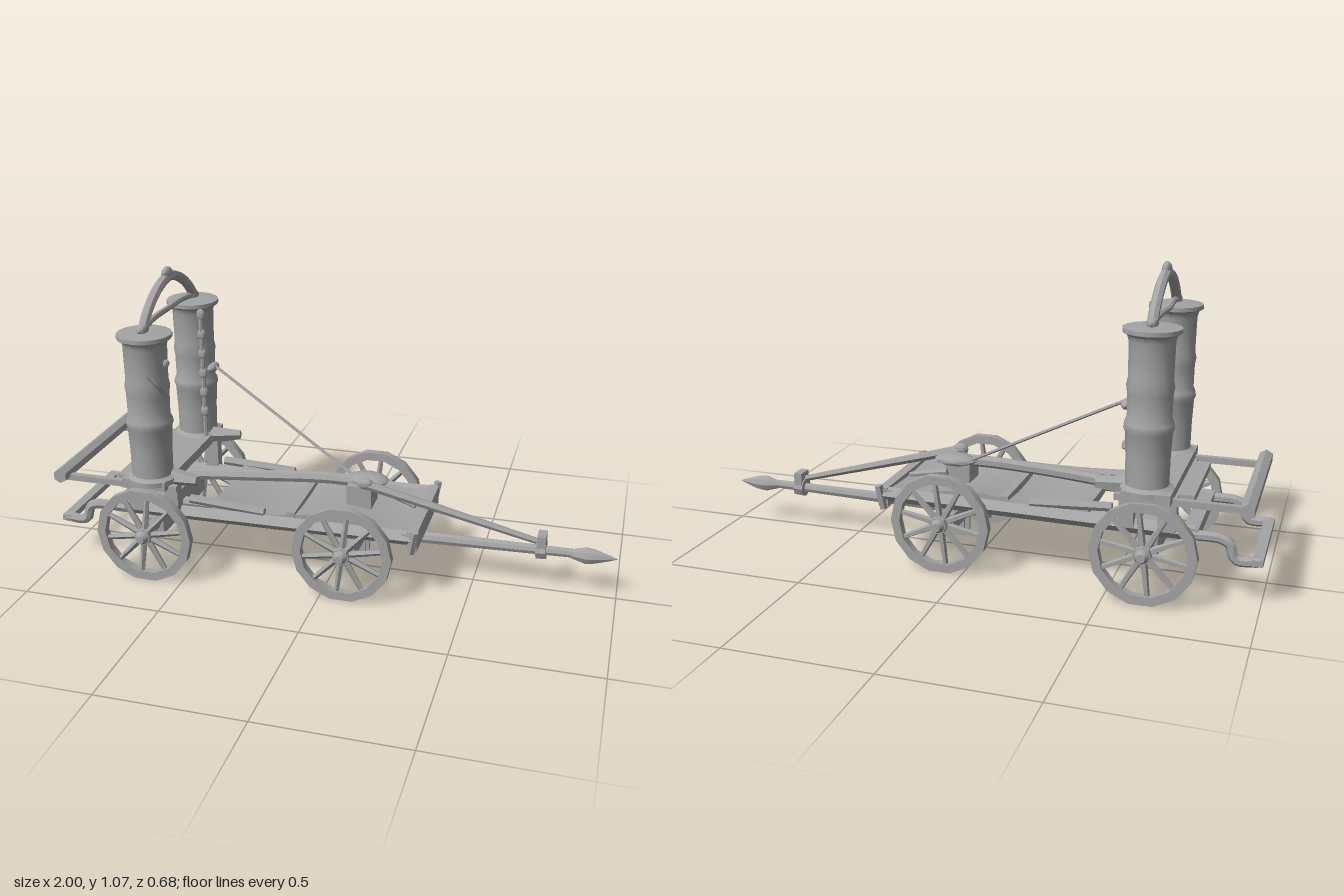
import * as THREE from 'three';
import { toCreasedNormals } from 'three/addons/utils/BufferGeometryUtils.js';

const V = (x, y, z) => new THREE.Vector3(x, y, z);

export function createModel() {
  const model = new THREE.Group();
  model.name = 'pumpCart';
  const grey = new THREE.MeshStandardMaterial({ color: 0xa3a3a3 });
  grey.name = 'weatheredGrey';

  const add = (name, geo, parent = model) => {
    const mesh = new THREE.Mesh(toCreasedNormals(geo, 0.75), grey);
    mesh.name = name;
    parent.add(mesh);
    return mesh;
  };
  // Box given by its limits on each axis
  const box = (name, x0, x1, y0, y1, z0, z1) => {
    const g = new THREE.BoxGeometry(x1 - x0, y1 - y0, z1 - z0);
    g.translate((x0 + x1) / 2, (y0 + y1) / 2, (z0 + z1) / 2);
    return add(name, g);
  };
  // Tapered round bar between two points
  const rod = (name, a, b, r0, r1 = r0, sides = 8, parent = model) => {
    const g = new THREE.CylinderGeometry(r1, r0, a.distanceTo(b), sides);
    const mesh = add(name, g, parent);
    mesh.position.copy(a).lerp(b, 0.5);
    mesh.quaternion.setFromUnitVectors(V(0, 1, 0), b.clone().sub(a).normalize());
    return mesh;
  };
  const tube = (name, points, r, n = 20, sides = 7) =>
    add(name, new THREE.TubeGeometry(new THREE.CatmullRomCurve3(points, false, 'centripetal'), n, r, sides));
  const blob = (name, p, sx, sy, sz) => {
    const g = new THREE.IcosahedronGeometry(1, 1);
    g.scale(sx, sy, sz);
    return add(name, g).position.copy(p);
  };

  // Spoked wheels
  const wheel = (name, x, z) => {
    const group = new THREE.Group();
    group.name = name;
    const ring = r => Array.from({ length: 14 }, (_, i) =>
      new THREE.Vector2(r * Math.cos(i * Math.PI / 7), r * Math.sin(i * Math.PI / 7)));
    const shape = new THREE.Shape(ring(0.177));
    shape.holes.push(new THREE.Path(ring(0.146).reverse()));
    const rim = new THREE.ExtrudeGeometry(shape, { depth: 0.03, bevelEnabled: false });
    rim.translate(0, 0, -0.015);
    add('rim', rim, group);
    for (let i = 0; i < 10; i++) {
      const a = (i + 0.3) * Math.PI / 5;
      const dir = V(Math.cos(a), Math.sin(a), 0);
      rod('spoke', dir.clone().multiplyScalar(0.02), dir.clone().multiplyScalar(0.15), 0.013, 0.009, 5, group);
    }
    const s = Math.sign(z);
    rod('hub', V(0, 0, -0.03 * s), V(0, 0, 0.025 * s), 0.035, 0.03, 8, group);
    rod('hubCap', V(0, 0, 0.025 * s), V(0, 0, 0.045 * s), 0.026, 0.015, 8, group);
    group.position.set(x, 0.187, z);
    model.add(group);
  };
  for (const s of [1, -1]) {
    wheel('rearWheel', -0.63, 0.295 * s);
    wheel('frontWheel', 0.08, 0.25 * s);
  }
  for (const [x, z] of [[-0.63, 0.29], [0.08, 0.25]]) {
    rod('axle', V(x, 0.187, -z), V(x, 0.187, z), 0.02);
    box('axleBeam', x - 0.03, x + 0.03, 0.145, 0.205, -0.2, 0.2);
    box('axleBolster', x - 0.035, x + 0.035, 0.205, 0.25, -0.17, 0.17);
  }

  // Sagging deck with a flared front edge
  const deck = new THREE.BoxGeometry(0.74, 0.03, 0.35, 12, 1, 6);
  const p = deck.attributes.position;
  for (let i = 0; i < p.count; i++) {
    const x = p.getX(i) - 0.05, z = p.getZ(i);
    const flare = Math.max(0, (x - 0.15) / 0.17);
    p.setXYZ(i, x, p.getY(i) + 0.25 + 0.012 * Math.cos(x * 14) + 0.35 * z * z, z * (1 + 0.2 * flare));
  }
  deck.computeVertexNormals();
  add('deck', deck);
  box('frontBoard', 0.295, 0.33, 0.205, 0.275, -0.2, 0.2);
  box('deckRib', -0.14, -0.11, 0.255, 0.285, -0.18, 0.18);
  for (const s of [1, -1]) {
    rod('sideRail', V(-0.78, 0.235, 0.185 * s), V(0.33, 0.25, 0.19 * s), 0.027, 0.027, 4);
    rod('upperRail', V(-0.5, 0.29, 0.175 * s), V(-0.22, 0.275, 0.18 * s), 0.016, 0.016, 6);
    rod('frontCornerPost', V(0.31, 0.2, 0.2 * s), V(0.325, 0.285, 0.21 * s), 0.015, 0.015, 5);
    // Rear push-bar arms
    box('pushArm', -0.95, -0.52, 0.343, 0.365, 0.24 * s - 0.011, 0.24 * s + 0.011);
    box('armPost', -0.72, -0.66, 0.24, 0.36, 0.2 * s - 0.02, 0.2 * s + 0.02);
    box('armPost', -0.58, -0.53, 0.24, 0.36, 0.2 * s - 0.02, 0.2 * s + 0.02);
    // Step brackets
    tube('stepBracket', [V(-0.74, 0.23, 0.19 * s), V(-0.86, 0.23, 0.19 * s),
      V(-0.89, 0.215, 0.19 * s), V(-0.91, 0.165, 0.19 * s), V(-0.985, 0.163, 0.19 * s)], 0.018);
    // Prongs under the front axle
    box('prong', 0.07, 0.11, 0.065, 0.16, 0.03 * s - 0.006, 0.03 * s + 0.006);
  }
  box('rearStep', -1, -0.965, 0.152, 0.174, -0.205, 0.205);
  rod('pushBar', V(-0.95, 0.37, -0.31), V(-0.95, 0.37, 0.285), 0.026, 0.026, 6);

  // Cylinder platform
  box('platformBeam', -0.71, -0.55, 0.355, 0.39, -0.295, 0.28);
  box('platformPlate', -0.77, -0.58, 0.335, 0.36, -0.18, 0.19);
  box('rearCrossbeam', -0.79, -0.74, 0.215, 0.255, -0.2, 0.2);

  // Pump cylinders with bands and flanged tops
  const profile = [[0, 0.37], [0.088, 0.372], [0.088, 0.39], [0.072, 0.4], [0.073, 0.49], [0.077, 0.575],
    [0.083, 0.59], [0.08, 0.605], [0.073, 0.62], [0.074, 0.7], [0.078, 0.725], [0.073, 0.75],
    [0.075, 0.87], [0.08, 0.887], [0.095, 0.897], [0.095, 0.911], [0, 0.92]].map(q => new THREE.Vector2(...q));
  for (const s of [1, -1]) {
    add('pumpCylinder', new THREE.LatheGeometry(profile, 16)).position.set(-0.62, 0, 0.216 * s);
    rod('baseLug', V(-0.56, 0.382, 0.2 * s), V(-0.45, 0.385, 0.22 * s), 0.035, 0.018, 5);
    blob('archFoot', V(-0.62, 0.925, 0.225 * s), 0.02, 0.02, 0.03);
  }
  // Fittings on the cylinders
  for (let i = 0; i < 6; i++)
    blob('pipeJoint', V(-0.56, 0.5 + i * 0.075, -0.143), 0.017, 0.022, 0.013);
  rod('sidePipe', V(-0.56, 0.4, -0.143), V(-0.56, 0.89, -0.14), 0.008, 0.008, 6);
  blob('ropeBracket', V(-0.545, 0.655, -0.205), 0.02, 0.018, 0.04);
  tube('crookedSpur', [V(-0.575, 0.79, 0.295), V(-0.555, 0.755, 0.28), V(-0.542, 0.7, 0.235)], 0.011, 8, 5);
  blob('spurKnob', V(-0.545, 0.81, 0.22), 0.012, 0.014, 0.016);

  // Arched handle and its crossbar
  tube('archHandle', [V(-0.62, 0.92, 0.225), V(-0.62, 0.965, 0.185), V(-0.62, 1.015, 0.115),
    V(-0.62, 1.045, 0.03), V(-0.62, 1.048, -0.03), V(-0.62, 1.02, -0.11),
    V(-0.62, 0.965, -0.19), V(-0.62, 0.915, -0.235)], 0.018, 24);
  blob('archKnob', V(-0.62, 1.06, 0), 0.017, 0.027, 0.035);
  tube('handleCrossbar', [V(-0.62, 0.925, 0.225), V(-0.625, 0.935, 0.12),
    V(-0.63, 0.932, 0), V(-0.625, 0.935, -0.12), V(-0.62, 0.925, -0.235)], 0.011);

  // Central pole over the deck
  tube('centrePole', [V(-0.6, 0.3, 0), V(-0.3, 0.328, 0), V(-0.05, 0.345, -0.01), V(0.12, 0.345, -0.01)], 0.021);
  box('poleStand', 0.04, 0.13, 0.25, 0.345, -0.06, 0.04);
  blob('poleHitch', V(0.1, 0.35, -0.03), 0.08, 0.022, 0.055);
  blob('ropeHook', V(0.11, 0.365, 0.045), 0.03, 0.022, 0.018);
  rod('deckLever', V(0.12, 0.31, -0.06), V(0.28, 0.27, -0.02), 0.014, 0.01, 6);

  // Drawbar with collar and pointed tip
  rod('drawbar', V(-0.02, 0.155, 0), V(0.86, 0.168, -0.005), 0.026, 0.016);
  rod('perchPole', V(-0.66, 0.185, 0), V(0.1, 0.185, 0), 0.02);
  rod('drawbarCollar', V(0.715, 0.168, -0.005), V(0.75, 0.17, -0.005), 0.036, 0.036);
  box('collarTab', 0.718, 0.748, 0.17, 0.228, -0.035, 0.025);
  add('drawbarTip', new THREE.LatheGeometry([[0, -0.08], [0.016, -0.08], [0.03, -0.03], [0.026, 0], [0.011, 0.05],
    [0, 0.08]].map(q => new THREE.Vector2(...q)), 8).rotateZ(-Math.PI / 2)).position.set(0.915, 0.165, -0.005);
  rod('towBrace', V(0.1, 0.365, 0.045), V(0.74, 0.195, 0), 0.018, 0.011, 6);
  rod('stayRope', V(-0.54, 0.665, -0.2), V(0.06, 0.345, -0.035), 0.006, 0.006, 5);

  return model;
}
